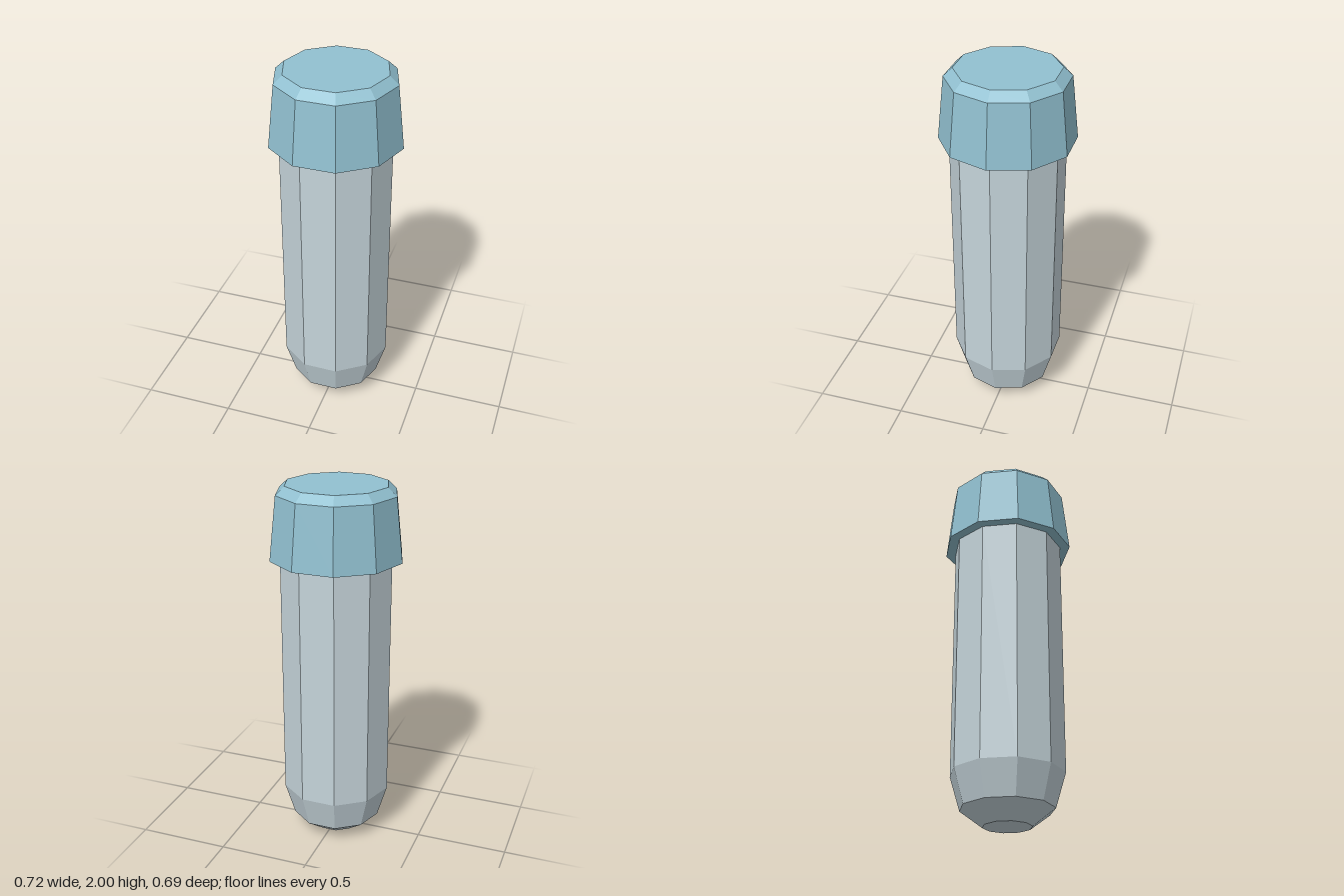
import * as THREE from 'three';

const SIDES = 10;
const TWIST = Math.PI / 10 - 0.012; // puts corners on the x axis, with a slight turn

// Faceted turned solid from [radius, height] pairs, listed bottom to top
function facetedLathe(name, profile, material) {
  const points = profile.map(([r, y]) => new THREE.Vector2(r, y));
  const geometry = new THREE.LatheGeometry(points, SIDES, TWIST).toNonIndexed();
  geometry.computeVertexNormals();
  const mesh = new THREE.Mesh(geometry, material);
  mesh.name = name;
  return mesh;
}

export function createModel() {
  const paleGrey = new THREE.MeshStandardMaterial({ color: 0xc5d4da });
  paleGrey.name = 'paleGrey';
  const softBlue = new THREE.MeshStandardMaterial({ color: 0x92c1d1 });
  softBlue.name = 'softBlue';

  const model = new THREE.Group();
  model.name = 'cappedVial';

  // Tube with a rounded, flat-tipped bottom
  model.add(facetedLathe('tubeBody', [
    [0, 0], [0.13, 0], [0.25, 0.09], [0.305, 0.275], [0.305, 1.615],
  ], paleGrey));

  // Flared cap with a bevelled top and a closed underside
  model.add(facetedLathe('cap', [
    [0, 1.613], [0.36, 1.613], [0.323, 1.955], [0.275, 2], [0, 2],
  ], softBlue));

  return model;
}
